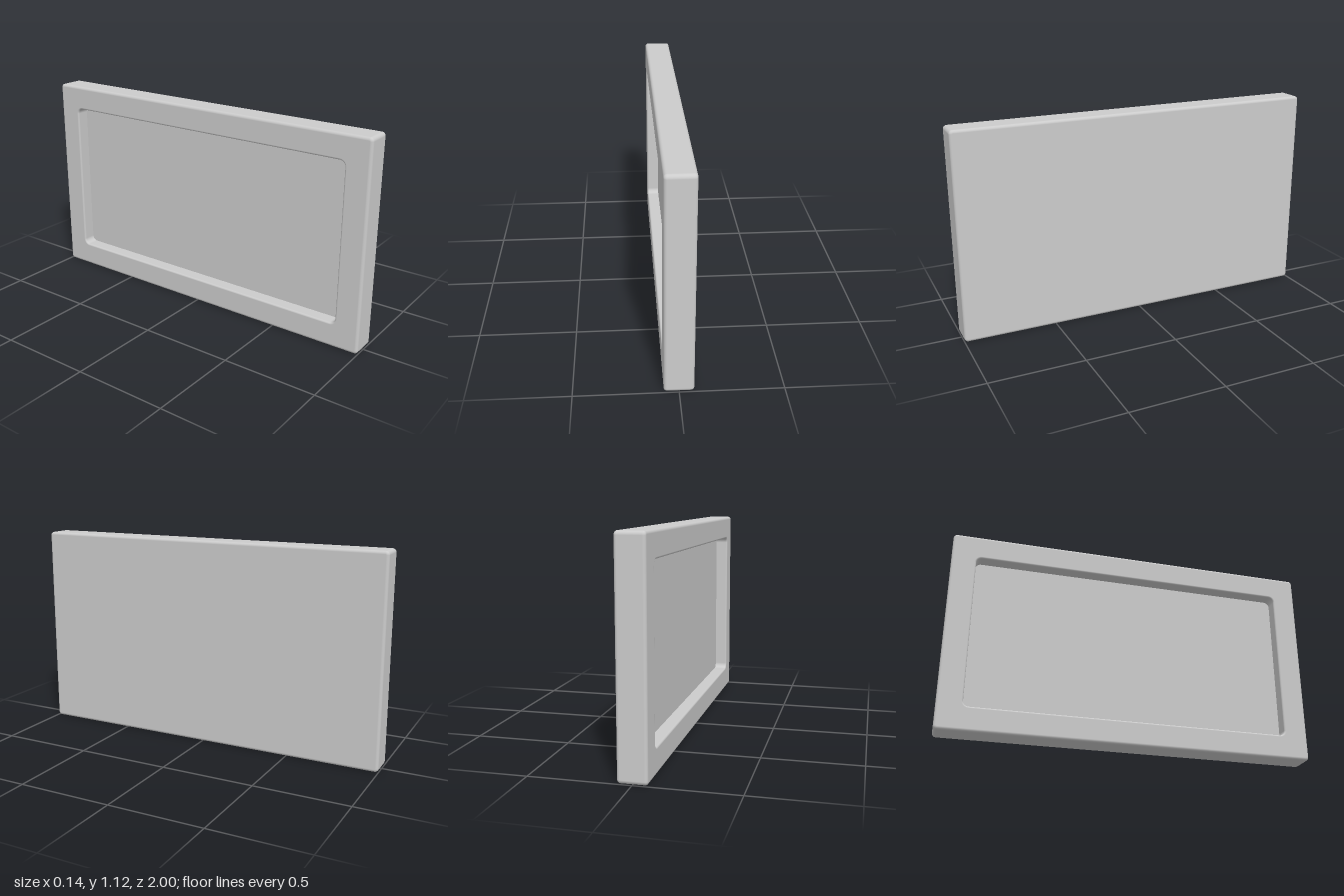
import * as THREE from 'three';

const HALF_X = 0.0725, HALF_Y = 0.56, HALF_Z = 1;
const BEVEL = 0.016, CORNER = 0.02;          // outer edge rounding
const RIM = 0.132, POCKET_R = 0.03, LIP = 0.01; // border width, pocket corners, lip rounding
const FLOOR_X = -0.003;
const ARC = 6, STEPS = 5;

// Ring: rounded rectangle in the z-y plane with corner centres (cz, cy) and radius r.
// (nOut, nx) is the profile normal: outward part and x part.
const ring = (x, cz, cy, r, nOut, nx) => ({ x, cz, cy, r, nOut, nx });

function loft(rings) {
  const pos = [], nor = [], idx = [];
  const count = 4 * (ARC + 1);
  for (const { x, cz, cy, r, nOut, nx } of rings) {
    for (let q = 0; q < 4; q++) {
      const sz = q === 0 || q === 3 ? 1 : -1, sy = q < 2 ? 1 : -1;
      for (let k = 0; k <= ARC; k++) {
        const a = (q + k / ARC) * Math.PI / 2;
        pos.push(x, sy * cy + r * Math.sin(a), sz * cz + r * Math.cos(a));
        nor.push(nx, nOut * Math.sin(a), nOut * Math.cos(a));
      }
    }
  }
  for (let i = 0; i < rings.length - 1; i++) {
    for (let j = 0; j < count; j++) {
      const k = (j + 1) % count;
      const a = i * count + j, b = i * count + k, c = a + count, d = b + count;
      idx.push(a, b, c, b, d, c);
    }
  }
  const g = new THREE.BufferGeometry();
  g.setAttribute('position', new THREE.Float32BufferAttribute(pos, 3));
  g.setAttribute('normal', new THREE.Float32BufferAttribute(nor, 3));
  g.setIndex(idx);
  return g;
}

export function createModel() {
  const group = new THREE.Group();
  const material = new THREE.MeshStandardMaterial({ color: 0xcccccc });
  const addMesh = (name, rings) => {
    const mesh = new THREE.Mesh(loft(rings), material);
    mesh.name = name;
    mesh.position.y = HALF_Y;
    group.add(mesh);
  };

  // Flat face, rounded outer sides, border and pocket walls in one sweep
  const oz = HALF_Z - CORNER, oy = HALF_Y - CORNER;
  const pz = HALF_Z - RIM - POCKET_R, py = HALF_Y - RIM - POCKET_R;
  const shell = [ring(HALF_X, 0, 0, 0, 0, 1)];
  for (const side of [1, -1]) {
    for (let i = 0; i <= STEPS; i++) {
      const t = (side > 0 ? i : STEPS - i) / STEPS * Math.PI / 2;
      const s = Math.sin(t), c = Math.cos(t);
      shell.push(ring(side * (HALF_X - BEVEL + BEVEL * c), oz, oy,
        CORNER - BEVEL + BEVEL * s, s, side * c));
    }
  }
  for (let i = 0; i <= STEPS; i++) {
    const t = i / STEPS * Math.PI / 2;
    const s = Math.sin(t), c = Math.cos(t);
    shell.push(ring(-HALF_X + LIP - LIP * c, pz, py, POCKET_R + LIP - LIP * s, -s, -c));
  }
  shell.push(ring(FLOOR_X, pz, py, POCKET_R, -1, 0));
  addMesh('panelFrame', shell);

  // Pocket floor
  addMesh('recessFloor', [
    ring(FLOOR_X, pz, py, POCKET_R, 0, -1),
    ring(FLOOR_X, 0, 0, 0, 0, -1),
  ]);
  return group;
}
